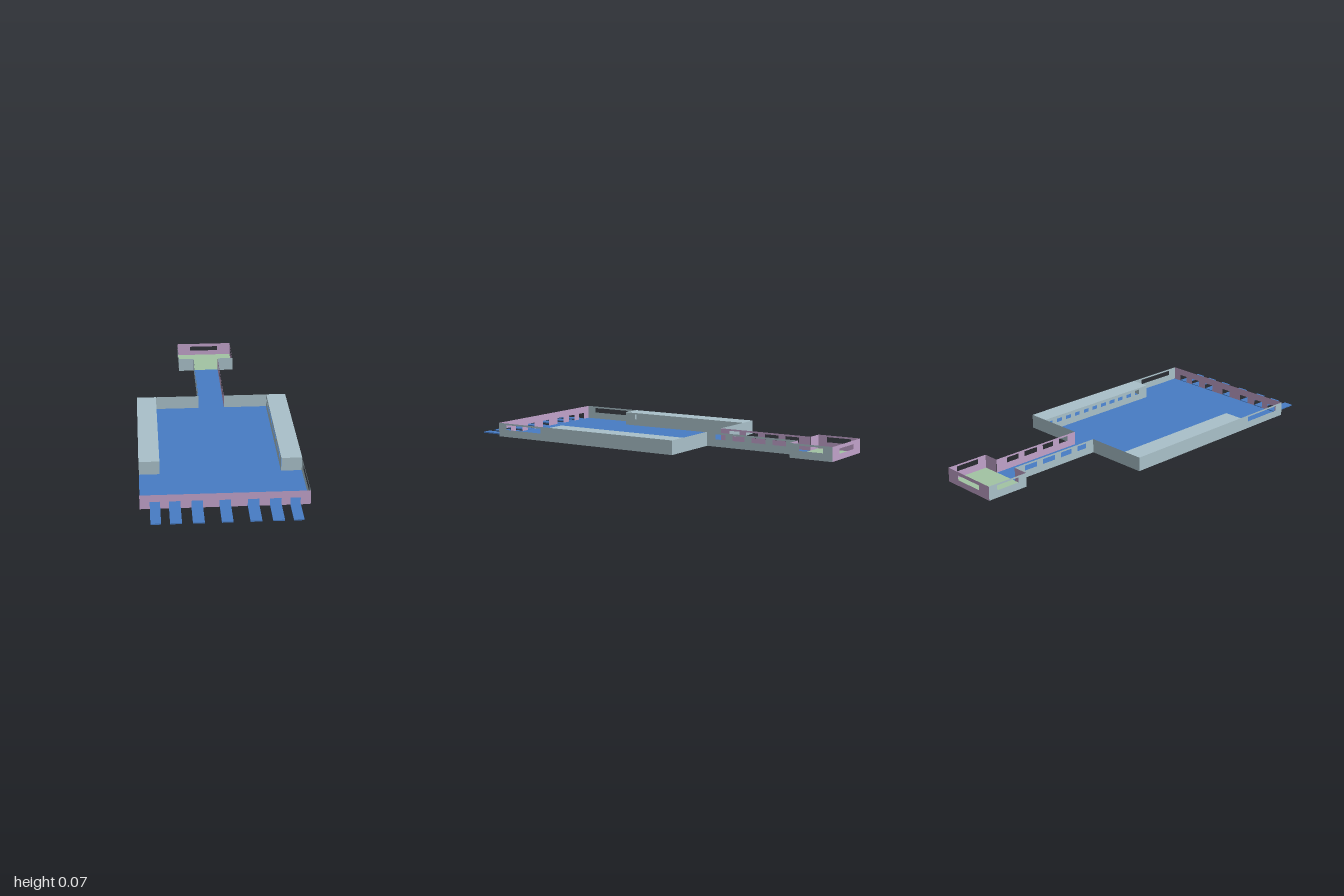
import * as THREE from 'three';

const material = (name, color) => {
  const m = new THREE.MeshStandardMaterial({ color });
  m.name = name;
  return m;
};

export function createModel() {
  const model = new THREE.Group();
  const stone = material('pale blue grey', 0xa9c0c9);
  const mauve = material('mauve', 0xc1a2ca);
  const blue = material('floor blue', 0x477cc4);
  const green = material('floor green', 0xa1c3a3);
  const H = 0.073, FLOOR = 0.003;

  // One face of a wall running from a to b (x, z), with rectangular holes [u0, u1, y0, y1]
  function wallFace(a, b, holes, mat, name, inset = 0) {
    const dx = b[0] - a[0], dz = b[1] - a[1], len = Math.hypot(dx, dz);
    const rect = (u0, u1, y0, y1) => [[u0, y0], [u1, y0], [u1, y1], [u0, y1]].map(p => new THREE.Vector2(...p));
    const shape = new THREE.Shape(rect(0, len, 0, H));
    for (const h of holes) shape.holes.push(new THREE.Path(rect(...h).reverse()));
    const mesh = new THREE.Mesh(new THREE.ShapeGeometry(shape), mat);
    mesh.rotation.y = Math.atan2(-dz, dx);
    mesh.position.set(a[0] + dz / len * -inset, 0, a[1] + dx / len * inset);
    mesh.name = name;
    return mesh;
  }

  // A thin wall: outer face on the right-hand side of travel, inner face behind it
  function wall(name, a, b, holes, outer, inner) {
    const len = Math.hypot(b[0] - a[0], b[1] - a[1]);
    const g = new THREE.Group();
    g.name = name;
    const mirrored = holes.map(([u0, u1, y0, y1]) => [len - u1, len - u0, y0, y1]);
    g.add(wallFace(a, b, holes, outer, name + 'Outside'));
    g.add(wallFace(b, a, mirrored, inner, name + 'Inside', 0.001));
    model.add(g);
  }

  function box(name, x0, x1, y0, y1, z0, z1, mat) {
    const m = new THREE.Mesh(new THREE.BoxGeometry(x1 - x0, y1 - y0, z1 - z0), mat);
    m.position.set((x0 + x1) / 2, (y0 + y1) / 2, (z0 + z1) / 2);
    m.name = name;
    model.add(m);
  }

  // Floors: coloured above, blue grey below
  const floor = (name, hw, z0, z1, mat) =>
    box(name, -hw, hw, 0, FLOOR, z0, z1, [stone, stone, mat, stone, stone, stone]);
  floor('hallFloor', 0.402, -0.249, 0.849, blue);
  floor('corridorFloor', 0.069, -0.77, -0.249, blue);
  floor('endRoomFloor', 0.154, -0.999, -0.77, green);

  // Front wall with seven doorways, each with a ramp
  const doors = [[-0.355, -0.306], [-0.265, -0.21], [-0.16, -0.105], [-0.027, 0.027],
    [0.105, 0.16], [0.21, 0.265], [0.306, 0.355]];
  wall('frontWall', [-0.403, 0.85], [0.403, 0.85],
    doors.map(([l, r]) => [l + 0.403, r + 0.403, FLOOR, 0.037]), mauve, mauve);
  doors.forEach(([l, r]) => box('doorRamp', l, r, 0, 0.006, 0.85, 1, blue));

  // Back wall of the end room with one long window
  wall('endRoomBackWall', [0.155, -1], [-0.155, -1], [[0.075, 0.235, 0.03, 0.055]], mauve, mauve);

  // Mirrored side walls; window spans are given along z
  const corridorWindows = [[-0.3, -0.36], [-0.4, -0.47], [-0.51, -0.59], [-0.63, -0.705]];
  for (const s of [1, -1]) {
    const pair = (name, a, b, spans, inner) => {
      const holes = spans.map(([p, q]) => [a[1] - p, a[1] - q, 0.038, 0.064]);
      if (s > 0) return wall(name, a, b, holes, stone, inner);
      const len = Math.hypot(b[0] - a[0], b[1] - a[1]);
      wall(name, [-b[0], b[1]], [-a[0], a[1]],
        holes.map(([u, v, y0, y1]) => [len - v, len - u, y0, y1]), stone, inner);
    };
    pair('hallSideWall', [0.403, 0.85], [0.403, -0.25], [[0.8, 0.57]], stone);
    pair('hallBackWall', [0.403, -0.25], [0.07, -0.25], [], stone);
    pair('corridorWall', [0.07, -0.25], [0.07, -0.77], corridorWindows, mauve);
    pair('endRoomFrontWall', [0.07, -0.77], [0.155, -0.77], [], mauve);
    pair('endRoomSideWall', [0.155, -0.77], [0.155, -1], [[-0.82, -0.95]], mauve);

    // Roofed side gallery with a row of slots facing the hall
    const slots = Array.from({ length: 11 }, (_, i) => [-0.2 + i * 0.065, -0.2 + i * 0.065 - 0.035]);
    pair('galleryInnerWall', [0.3, 0.51], [0.3, -0.249], slots, stone);
    pair('galleryEndWall', [0.3, 0.51], [0.402, 0.51], [], stone);
    box('galleryRoof', Math.min(s * 0.3, s * 0.403), Math.max(s * 0.3, s * 0.403),
      H - 0.002, H, -0.25, 0.51, stone);
  }
  return model;
}
